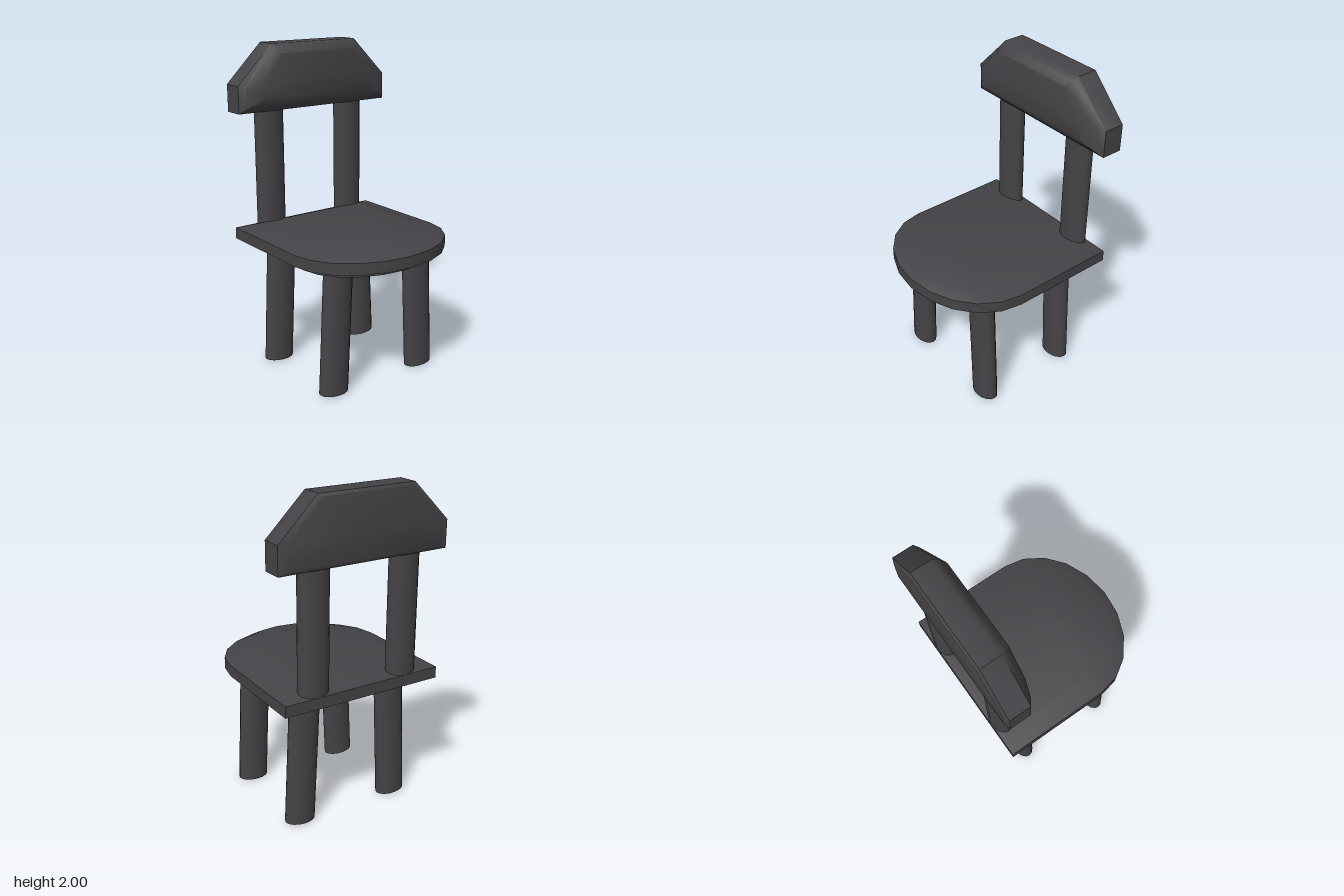
import * as THREE from 'three';
import { toCreasedNormals } from 'three/addons/utils/BufferGeometryUtils.js';

const V = (x, y, z) => new THREE.Vector3(x, y, z);

// Skin a stack of matching rings and close both ends with fans
function loft(rings) {
  const pos = [];
  const tri = (a, b, c) => pos.push(...a.toArray(), ...b.toArray(), ...c.toArray());
  const n = rings[0].length;
  const centre = (ring) => ring.reduce((s, p) => s.add(p), V(0, 0, 0)).divideScalar(n);
  const first = rings[0], last = rings[rings.length - 1];
  const c0 = centre(first), c1 = centre(last);
  for (let j = 0; j < n; j++) {
    const k = (j + 1) % n;
    for (let i = 0; i < rings.length - 1; i++) {
      const a = rings[i][j], b = rings[i][k], c = rings[i + 1][k], d = rings[i + 1][j];
      tri(a, b, c);
      tri(a, c, d);
    }
    tri(c0, first[k], first[j]);
    tri(c1, last[j], last[k]);
  }
  const g = new THREE.BufferGeometry();
  g.setAttribute('position', new THREE.Float32BufferAttribute(pos, 3));
  return toCreasedNormals(g, THREE.MathUtils.degToRad(40));
}

// Seat outline: straight back and sides, half-round front, with insets
function seatRing(y, side, front, back) {
  const pts = [];
  for (let i = 0; i <= 10; i++) {
    const a = Math.PI * (1 - i / 10);
    pts.push(V(-0.0125 + (0.5175 - side) * Math.cos(a), y, 0.13 + (0.415 - front) * Math.sin(a)));
  }
  pts.push(V(0.505 - side, y, -0.53 + back), V(-0.53 + side, y, -0.53 + back));
  return pts;
}

// Backrest outline: low shoulders rising to a narrower flat top
function backRing(z, half, bottom, shoulder, topHalf, top) {
  return [[-half, bottom], [half, bottom], [half, shoulder], [topHalf, top], [-topHalf, top], [-half, shoulder]]
    .map(([x, y]) => V(x - 0.003, y, z));
}

export function createModel() {
  const group = new THREE.Group();
  const charcoal = new THREE.MeshStandardMaterial({ color: 0x444347 });
  charcoal.name = 'charcoal';

  const add = (name, geometry) => {
    const mesh = new THREE.Mesh(geometry, charcoal);
    mesh.name = name;
    group.add(mesh);
    return mesh;
  };

  // Oval rod between two points
  const rod = (name, from, to) => {
    const dir = to.clone().sub(from);
    const g = new THREE.CylinderGeometry(1, 1, dir.length(), 16);
    g.scale(0.0965, 1, 0.063);
    const mesh = add(name, g);
    mesh.position.copy(from).add(to).multiplyScalar(0.5);
    mesh.quaternion.setFromUnitVectors(V(0, 1, 0), dir.normalize());
  };

  // Seat with softened edges and a thin plate below
  add('seat', loft([
    seatRing(0.785, 0.065, 0.05, 0.08),
    seatRing(0.8, 0, 0, 0),
    seatRing(0.87, 0, 0, 0),
    seatRing(0.905, 0.13, 0.06, 0.11),
  ]));
  add('seatUnderplate', loft([
    seatRing(0.765, 0.064, 0.065, 0.09),
    seatRing(0.79, 0.064, 0.065, 0.09),
  ]));

  // Splayed legs and upright back posts
  for (const [side, foot, hip, post] of [['left', 0.315, 0.279, 0.291], ['right', -0.348, -0.309, -0.305]]) {
    rod(side + 'FrontLeg', V(foot, 0.005, 0.247), V(hip, 0.785, 0.247));
    rod(side + 'BackLeg', V(foot, 0.005, -0.353), V(hip, 0.785, -0.353));
    rod(side + 'BackPost', V(post, 0.84, -0.467), V(post, 1.65, -0.467));
  }

  // Backrest with a padded front and a small bevel behind
  add('backrest', loft([
    backRing(-0.55, 0.5, 1.62, 1.755, 0.29, 1.985),
    backRing(-0.535, 0.543, 1.6, 1.765, 0.306, 2),
    backRing(-0.405, 0.543, 1.6, 1.765, 0.306, 2),
    backRing(-0.38, 0.505, 1.625, 1.76, 0.298, 1.985),
    backRing(-0.345, 0.413, 1.675, 1.755, 0.27, 1.945),
  ]));

  return group;
}
